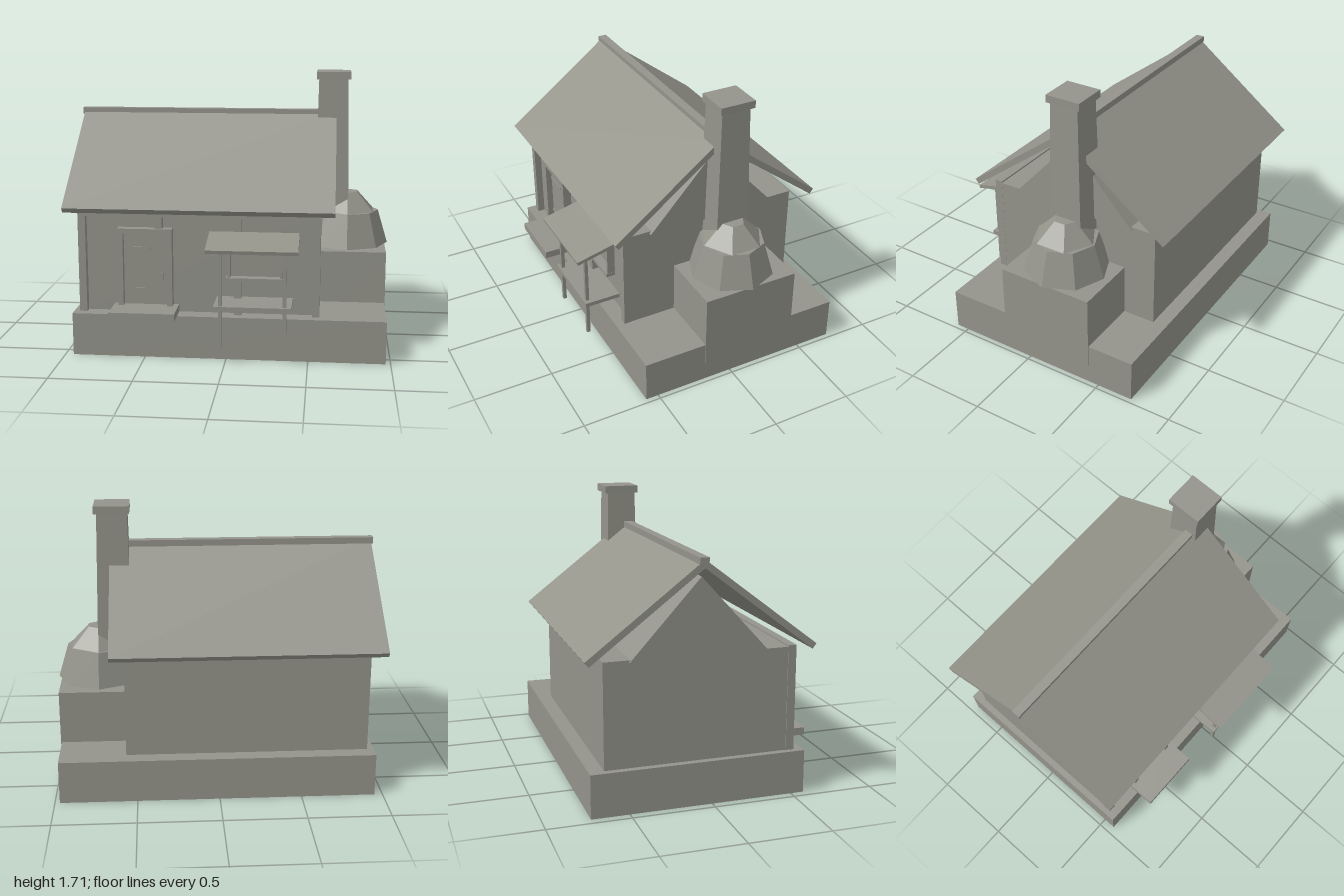
import * as THREE from 'three';

export function createModel() {
  const group = new THREE.Group();
  const stone = new THREE.MeshStandardMaterial({ color: 0x94948b, flatShading: true });
  stone.name = 'warm grey';

  const add = (name, geometry, x = 0, y = 0, z = 0) => {
    const mesh = new THREE.Mesh(geometry, stone);
    mesh.name = name;
    mesh.position.set(x, y, z);
    group.add(mesh);
    return mesh;
  };
  // Box given by its minimum and maximum on each axis
  const box = (name, x0, x1, y0, y1, z0, z1) =>
    add(name, new THREE.BoxGeometry(x1 - x0, y1 - y0, z1 - z0),
      (x0 + x1) / 2, (y0 + y1) / 2, (z0 + z1) / 2);

  // Foundation and house body
  box('foundation', -0.95, 0.97, 0, 0.265, -0.73, 0.58);
  box('walls', -0.91, 0.565, 0.265, 0.9, -0.64, 0.48);

  // Gable prism under the roof
  const gable = new THREE.Shape([[-0.35, 0.887], [0.49, 0.887], [0.07, 1.35]]
    .map(([a, b]) => new THREE.Vector2(a, b)));
  const gableGeo = new THREE.ExtrudeGeometry(gable, { depth: 1.51, bevelEnabled: false });
  gableGeo.rotateY(Math.PI / 2);
  add('gable', gableGeo, -0.925);

  // Roof slabs mirrored about the ridge, with a ridge cap
  const ridgeZ = -0.073, pitch = Math.atan(0.765);
  for (const side of [1, -1]) {
    const slab = add('roofSlab', new THREE.BoxGeometry(1.64, 0.038, 0.866),
      -0.17, 1.178, ridgeZ + side * 0.3325);
    slab.rotation.x = side * pitch;
  }
  box('ridgeCap', -1, 0.64, 1.43, 1.47, -0.107, -0.052);

  // Timber framing on the front wall
  const wallZ = 0.475, timberZ = 0.525;
  for (const x of [-0.915, 0.52]) box('cornerPost', x, x + 0.046, 0.265, 0.87, wallZ, timberZ);
  box('topBeam', -0.915, 0.566, 0.866, 0.91, wallZ, timberZ);
  box('postAboveDoor', -0.44, -0.395, 0.79, 0.87, wallZ, timberZ);
  box('postAboveWindow', 0.045, 0.09, 0.72, 0.87, wallZ, timberZ);
  box('postBelowWindow', 0.045, 0.09, 0.265, 0.49, wallZ, timberZ);

  // Door with frame, hinges, handle and step
  for (const x of [-0.67, -0.367]) box('doorJamb', x, x + 0.033, 0.265, 0.77, wallZ, 0.535);
  box('doorLintel', -0.67, -0.334, 0.765, 0.795, wallZ, 0.535);
  box('door', -0.637, -0.367, 0.265, 0.765, wallZ, 0.495);
  for (const y of [0.4, 0.66]) box('hinge', -0.637, -0.47, y, y + 0.015, 0.49, 0.5);
  box('doorHandle', -0.405, -0.39, 0.47, 0.52, 0.49, 0.515);
  box('doorStep', -0.7, -0.3, 0.265, 0.312, 0.48, 0.697);

  // Serving window
  for (const x of [0.005, 0.325]) box('windowJamb', x, x + 0.016, 0.5, 0.74, wallZ, 0.53);
  box('windowLintel', 0.005, 0.341, 0.735, 0.755, wallZ, 0.53);
  box('windowSill', -0.005, 0.343, 0.48, 0.502, wallZ, 0.54);
  box('windowPane', 0.02, 0.325, 0.5, 0.735, wallZ, 0.484);

  // Stall: awning, posts and counter
  const awning = add('awning', new THREE.BoxGeometry(0.545, 0.022, 0.252), 0.168, 0.748, 0.645);
  awning.rotation.x = 0.24;
  for (const x of [-0.035, 0.35]) box('stallPost', x, x + 0.022, 0.118, 0.735, 0.674, 0.696);
  box('counter', -0.064, 0.402, 0.345, 0.371, 0.48, 0.71);

  // Bread oven: block base, octagonal dome, hexagonal crown
  box('ovenBase', 0.55, 0.975, 0.125, 0.595, -0.433, 0.18);
  add('ovenDome', new THREE.CylinderGeometry(0.2, 0.265, 0.217, 8), 0.73, 0.702, -0.125);
  add('ovenCrown', new THREE.CylinderGeometry(0.073, 0.192, 0.122, 6), 0.73, 0.871, -0.125);

  // Tapered chimney with cap
  const shaft = new THREE.CylinderGeometry(0.092 * Math.SQRT2, 0.113 * Math.SQRT2, 1.08, 4);
  shaft.rotateY(Math.PI / 4);
  add('chimney', shaft, 0.627, 1.13, -0.124);
  box('chimneyCap', 0.52, 0.737, 1.665, 1.712, -0.238, -0.015);

  return group;
}
